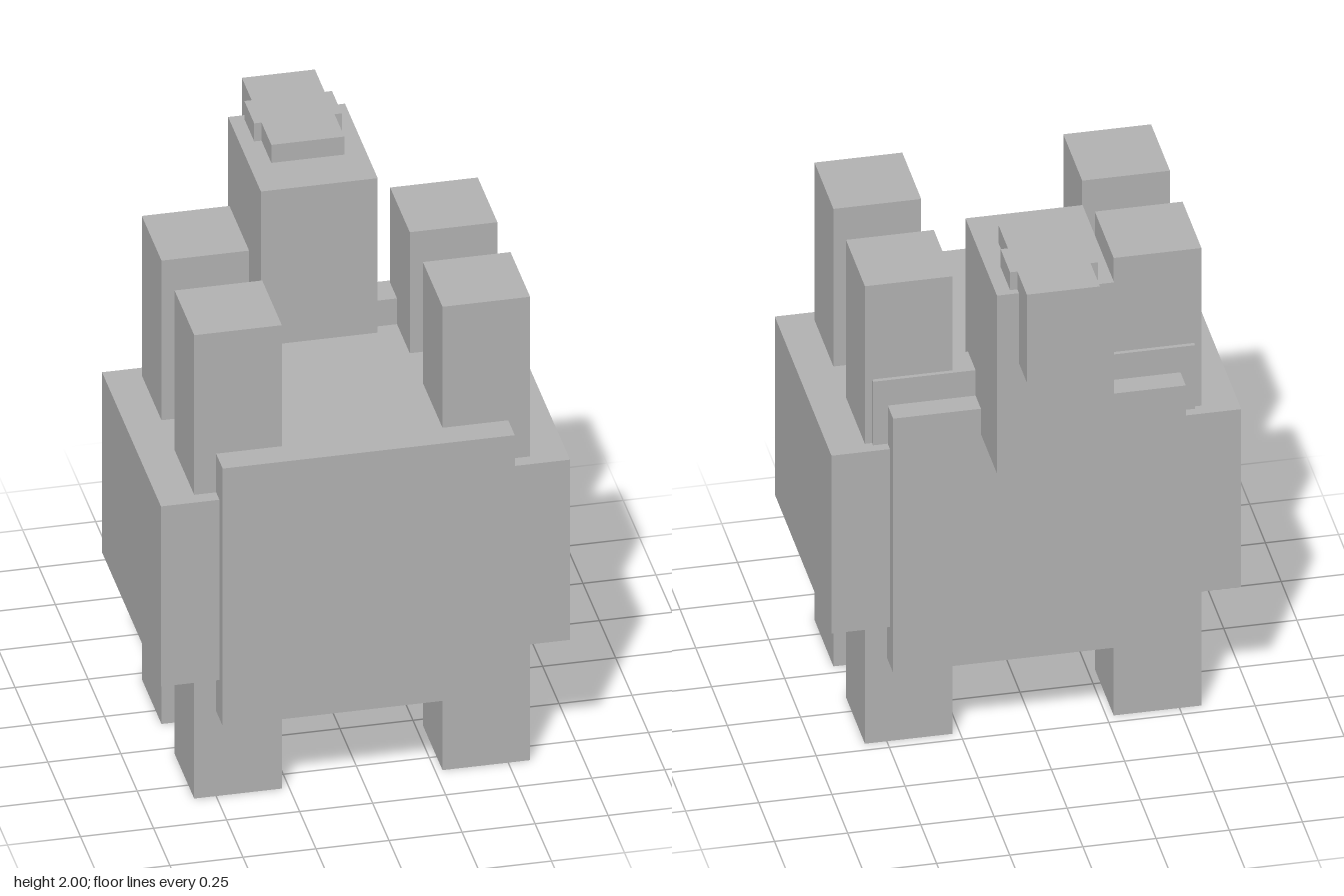
import * as THREE from 'three';

export function createModel() {
  const model = new THREE.Group();
  model.name = 'blockModel';
  const grey = new THREE.MeshStandardMaterial({ color: 0xb3b3b3 });
  grey.name = 'plain grey';

  // Box given by its lower and upper corners
  function box(name, [x0, y0, z0], [x1, y1, z1], parent = model) {
    const mesh = new THREE.Mesh(new THREE.BoxGeometry(x1 - x0, y1 - y0, z1 - z0), grey);
    mesh.position.set((x0 + x1) / 2, (y0 + y1) / 2, (z0 + z1) / 2);
    mesh.name = name;
    parent.add(mesh);
    return mesh;
  }

  // Main body
  box('body', [-0.5, 0.33, -0.31], [0.5, 1.33, 0.69]);

  // Mirrored parts on the left (+x) and right (-x)
  for (const [side, s] of [['left', 1], ['right', -1]]) {
    const pair = (name, x0, x1, y0, y1, z0, z1) =>
      box(side + name, [Math.min(s * x0, s * x1), y0, z0], [Math.max(s * x0, s * x1), y1, z1]);

    pair('SidePanel', 0.5, 0.7, 0.48, 1.18, -0.26, 0.64);
    // Posts run through the body: legs below, uprights above
    pair('FrontPost', 0.275, 0.575, 0, 1.8, 0.29, 0.59);
    pair('BackPost', 0.275, 0.575, 0, 1.8, -0.21, 0.09);
    // Low rail joining the two posts
    pair('Rail', 0.435, 0.515, 1.15, 1.45, 0.09, 0.29);
    // Small lug on each side of the crest
    pair('CrestLug', 0.125, 0.15, 1.85, 2, -0.54, -0.39);
  }

  // Cross rail behind the back posts
  box('backRail', [-0.55, 1.13, -0.225], [0.55, 1.43, -0.105]);

  // Head, overhanging the back of the body
  box('head', [-0.2, 1.23, -0.565], [0.2, 1.93, -0.065]);

  // Crest: a cap on the head and a block hanging behind it
  const crest = new THREE.Group();
  crest.name = 'crest';
  model.add(crest);
  box('crestBlock', [-0.125, 1.655, -0.69], [0.125, 2, -0.24], crest);

  return model;
}
